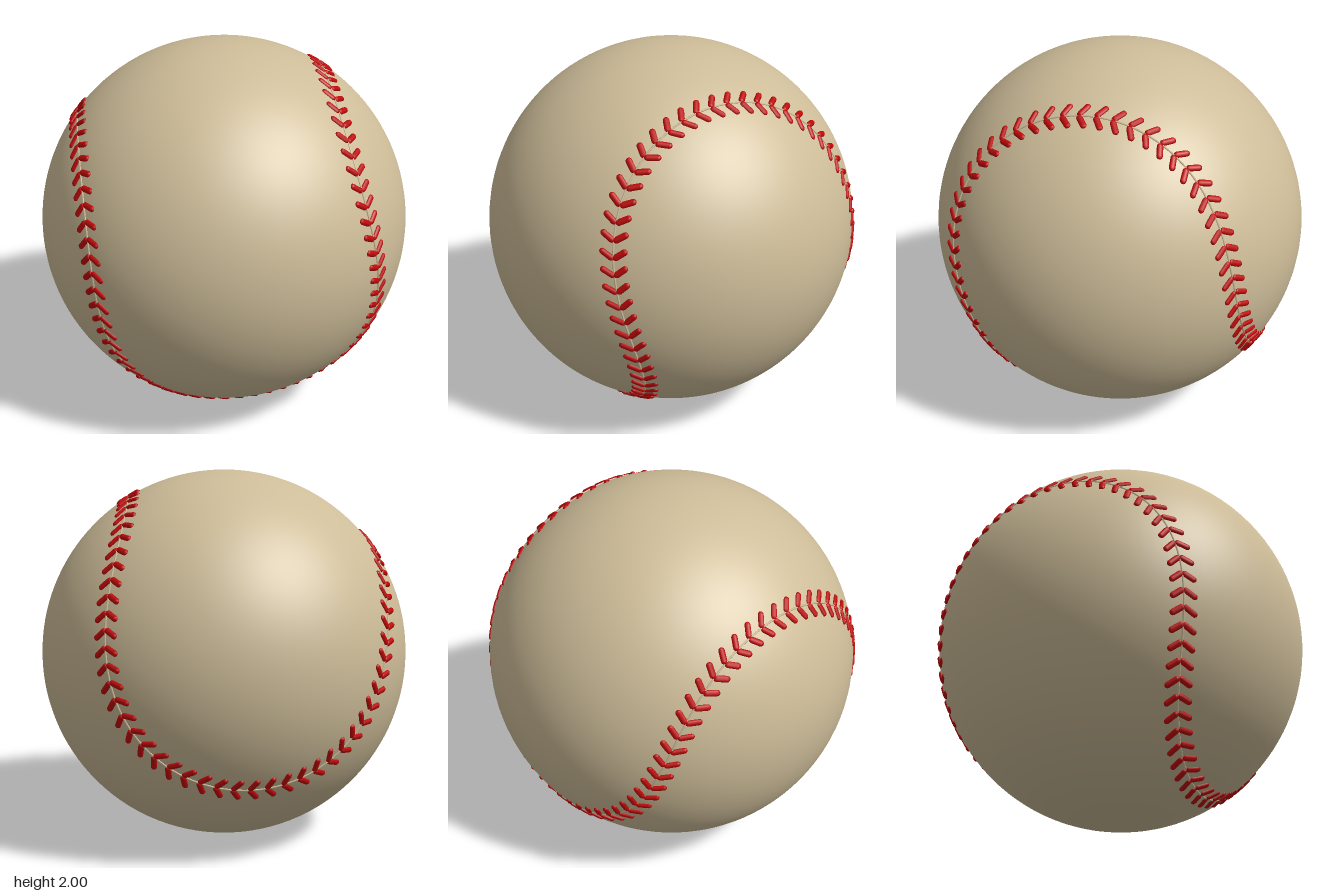
import * as THREE from 'three';
import { mergeGeometries } from 'three/addons/utils/BufferGeometryUtils.js';

const RADIUS = 1;
const STITCHES = 108;

// Axes of the seam: two inflection points and the axis through the necks
const U = new THREE.Vector3(0.783, 0.289, -0.542).normalize();
const V = new THREE.Vector3(0.582, -0.063, 0.807).normalize();
const W = new THREE.Vector3(-0.217, 0.952, 0.217).normalize();

// Closed seam curve that snakes around the sphere
function seamCurve() {
  const points = [];
  for (let i = 0; i < 96; i++) {
    const t = (i / 96) * Math.PI * 2;
    points.push(new THREE.Vector3()
      .addScaledVector(U, 1.225 * Math.cos(t) + 0.356 * Math.cos(3 * t))
      .addScaledVector(V, 1.225 * Math.sin(t) - 0.356 * Math.sin(3 * t))
      .addScaledVector(W, Math.sin(2 * t))
      .setLength(RADIUS));
  }
  return new THREE.CatmullRomCurve3(points, true);
}

// One flattened thread lying on the surface between two points
function thread(a, b) {
  const along = b.clone().sub(a);
  const length = along.length();
  along.normalize();
  const middle = a.clone().add(b).multiplyScalar(0.5);
  const across = along.clone().cross(middle).normalize();
  const normal = across.clone().cross(along);
  const matrix = new THREE.Matrix4().makeBasis(across, along, normal).setPosition(middle);
  return new THREE.CapsuleGeometry(0.016, length - 0.022, 3, 8).scale(1, 1, 0.75).applyMatrix4(matrix);
}

export function createModel() {
  const group = new THREE.Group();
  const leather = new THREE.MeshStandardMaterial({ color: 0xcdbc98 });
  const red = new THREE.MeshStandardMaterial({ color: 0xc00808 });
  const add = (name, geometry, material) => {
    const mesh = new THREE.Mesh(geometry, material);
    mesh.name = name;
    mesh.position.y = RADIUS;
    group.add(mesh);
  };

  // Leather cover
  add('cover', new THREE.SphereGeometry(RADIUS, 96, 64), leather);

  // Thin raised joint between the two leather panels
  const curve = seamCurve();
  curve.arcLengthDivisions = 1000;
  add('seam', new THREE.TubeGeometry(curve, 400, 0.005, 6, true), leather);

  // Chevron stitches: a mirrored pair of threads at each step
  const threads = [];
  for (let i = 0; i < STITCHES; i++) {
    const p = curve.getPointAt(i / STITCHES);
    const tangent = curve.getTangentAt(i / STITCHES);
    const side = p.clone().cross(tangent).normalize();
    const at = (s, back) => p.clone().addScaledVector(side, s).addScaledVector(tangent, -back).setLength(RADIUS);
    for (const s of [-1, 1]) threads.push(thread(at(s * 0.003, -0.02), at(s * 0.064, 0.02)));
  }
  add('stitches', mergeGeometries(threads), red);

  return group;
}
